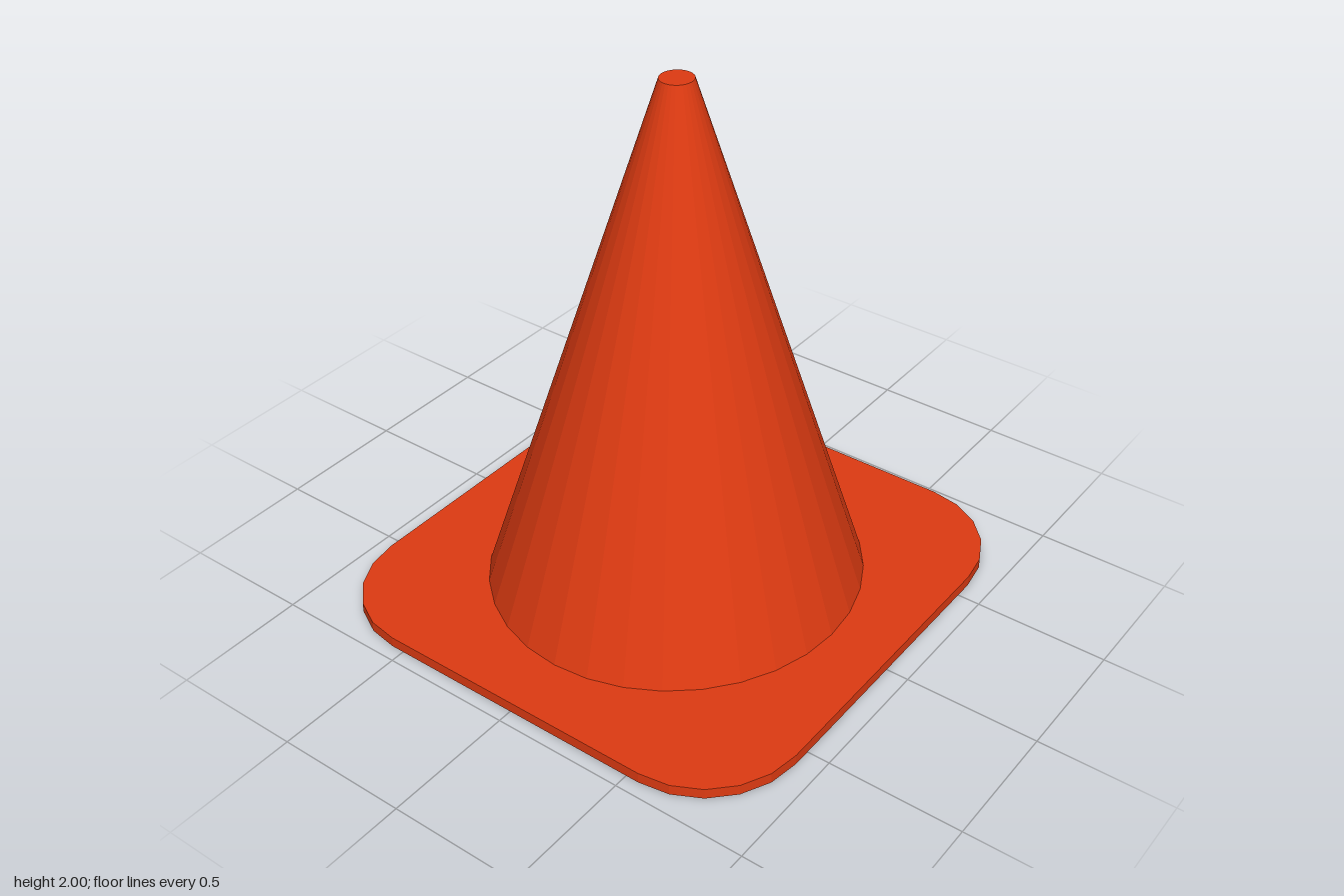
import * as THREE from 'three';

const SIDES = 32, RX = 0.685, RZ = 0.71, BASE_H = 0.04;

// Points along an elliptical arc
function arc(cx, cy, rx, ry, start, sweep, steps) {
  return Array.from({ length: steps + 1 }, (_, i) => {
    const a = start + (sweep * i) / steps;
    return new THREE.Vector2(cx + rx * Math.cos(a), cy + ry * Math.sin(a));
  });
}

export function createModel() {
  const group = new THREE.Group();
  group.name = 'trafficCone';
  const material = new THREE.MeshStandardMaterial({
    color: 0xdf3b12, flatShading: true, side: THREE.DoubleSide,
  });
  const add = (name, geometry) => {
    const mesh = new THREE.Mesh(geometry, material);
    mesh.name = name;
    group.add(mesh);
    return mesh;
  };

  // Base plate: rounded corners and a round opening under the cone
  const corners = [[1, 1], [-1, 1], [-1, -1], [1, -1]];
  const outline = corners.flatMap(([sx, sy], i) =>
    arc(0.55 * sx, 0.57 * sy, 0.365, 0.375, (i * Math.PI) / 2, Math.PI / 2, 5));
  const plate = new THREE.Shape(outline);
  plate.holes.push(new THREE.Path(arc(0, 0, RX, RZ, 0, -Math.PI * 2, SIDES).slice(0, -1)));
  const base = new THREE.ExtrudeGeometry(plate, { depth: BASE_H, bevelEnabled: false });
  base.rotateX(-Math.PI / 2);
  add('basePlate', base);

  // Hollow cone wall, slightly narrower in x than in z
  const height = 2 - BASE_H;
  const wall = new THREE.CylinderGeometry(0.061, RZ, height, SIDES, 1, true);
  wall.translate(0, BASE_H + height / 2, 0).scale(RX / RZ, 1, 1);
  add('coneWall', wall);

  // Closed tip
  const tip = new THREE.CircleGeometry(0.061, SIDES);
  tip.rotateX(-Math.PI / 2).translate(0, 2, 0).scale(RX / RZ, 1, 1);
  add('coneTip', tip);

  return group;
}
